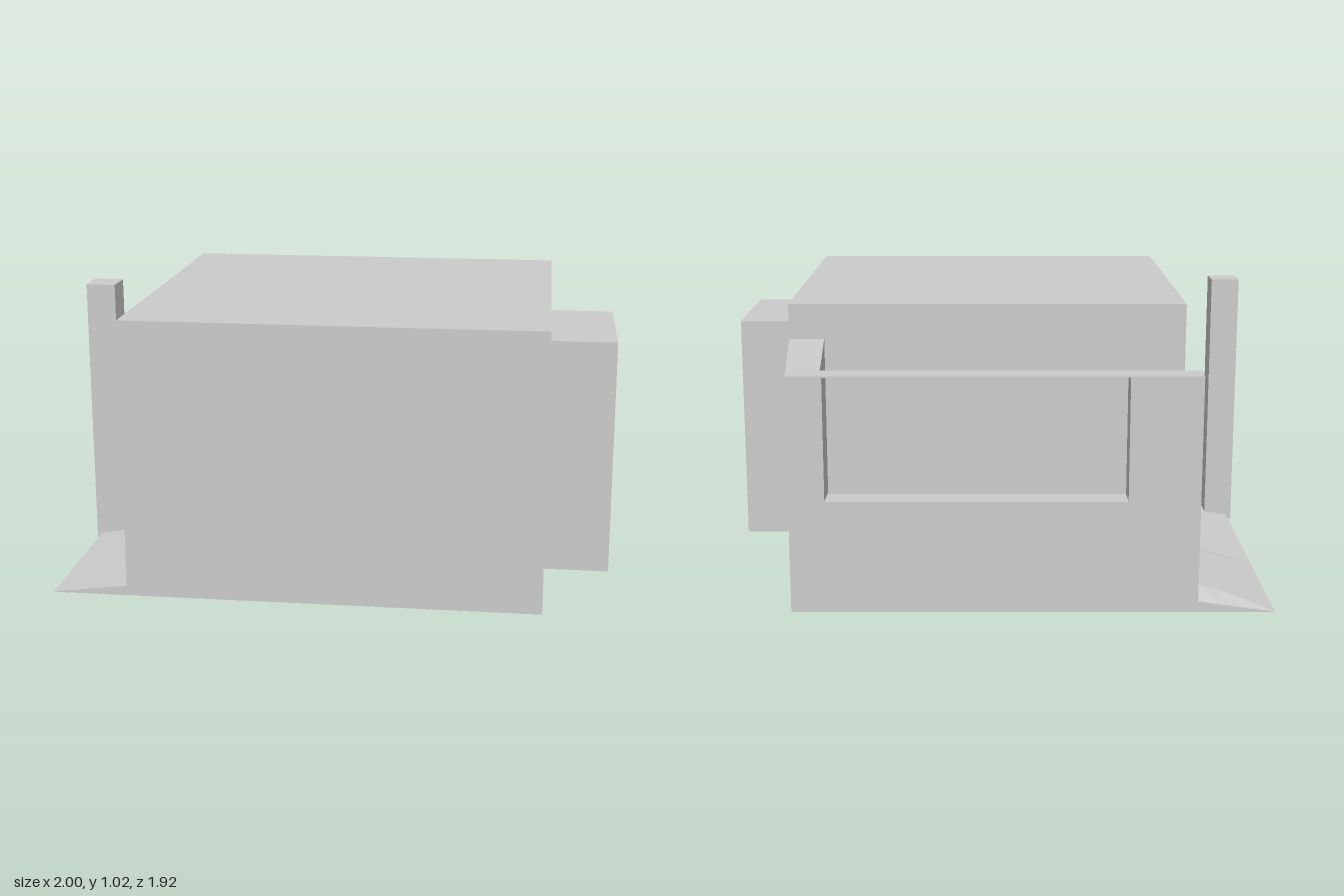
import * as THREE from 'three';

const material = new THREE.MeshStandardMaterial({ color: 0xcccccc, flatShading: true });

function add(group, name, geometry) {
  const mesh = new THREE.Mesh(geometry, material);
  mesh.name = name;
  group.add(mesh);
  return mesh;
}

// Box given by its minimum and maximum on each axis
function block(group, name, x0, x1, y0, y1, z0, z1) {
  const geometry = new THREE.BoxGeometry(x1 - x0, y1 - y0, z1 - z0);
  add(group, name, geometry).position.set((x0 + x1) / 2, (y0 + y1) / 2, (z0 + z1) / 2);
}

const polygon = (points) => points.map(([a, b]) => new THREE.Vector2(a, b));

// Ground sheet: a shallow ramp with a raised strip leading into the rear yard
function groundGeometry() {
  const xs = [-0.98, -0.79, -0.71, -0.62, 0.65];
  const low = [0.02, 0.046, 0.057, 0.06, 0.06];
  const high = [0.02, 0.068, 0.09, 0.1, 0.1];
  const skirt = [0.02, 0.02, 0.02, 0.02, 0.02];
  const rows = [[0.96, skirt], [0.96, low], [-0.33, low], [-0.42, high],
    [-0.86, high], [-0.95, low], [-0.96, low], [-0.96, skirt]];
  const positions = [];
  const index = [];
  rows.forEach(([z, ys], r) => xs.forEach((x, c) => {
    positions.push(x, ys[c], z);
    if (r < rows.length - 1 && c < xs.length - 1) {
      const a = r * xs.length + c;
      const b = a + xs.length;
      index.push(a, a + 1, b, a + 1, b + 1, b);
    }
  }));
  const geometry = new THREE.BufferGeometry();
  geometry.setAttribute('position', new THREE.Float32BufferAttribute(positions, 3));
  geometry.setIndex(index);
  const flat = geometry.toNonIndexed();
  flat.computeVertexNormals();
  return flat;
}

// Yard side wall: sloping top profile, tapering inwards towards the back
function sideWallGeometry() {
  const profile = new THREE.Shape(polygon([[0.42, 0.02], [0.96, 0.02], [0.96, 0.86], [0.84, 0.86], [0.42, 0.89]]));
  const geometry = new THREE.ExtrudeGeometry(profile, { depth: 1, bevelEnabled: false });
  geometry.rotateY(Math.PI / 2);
  const p = geometry.attributes.position;
  for (let i = 0; i < p.count; i++) {
    const s = (-0.42 - p.getZ(i)) / 0.54;
    p.setX(i, p.getX(i) > 0.5 ? 0.76 - 0.05 * s : 0.63 - 0.036 * s);
  }
  geometry.computeVertexNormals();
  return geometry;
}

// Back wall with a wide window under a very thin top
function backWallGeometry() {
  const wall = new THREE.Shape(polygon([[-0.71, 0.02], [0.6, 0.02], [0.6, 0.86], [-0.71, 0.86]]));
  wall.holes.push(new THREE.Path(polygon([[-0.46, 0.42], [-0.46, 0.856], [0.585, 0.856], [0.585, 0.42]])));
  const geometry = new THREE.ExtrudeGeometry(wall, { depth: 0.1, bevelEnabled: false });
  geometry.translate(0, 0, -0.96);
  return geometry;
}

export function createModel() {
  const group = new THREE.Group();
  group.name = 'house';

  // House body, side annex and free-standing post
  block(group, 'mainBlock', -0.71, 0.76, 0.02, 1.02, -0.42, 0.96);
  block(group, 'sideAnnex', 0.76, 1.0, 0.02, 0.89, -0.03, 0.52);
  block(group, 'post', -1.0, -0.89, 0, 1.02, 0.21, 0.33);

  // Rear yard walls
  add(group, 'yardSideWall', sideWallGeometry());
  add(group, 'yardBackWall', backWallGeometry());

  // Ground and its flat underside
  add(group, 'groundRamp', groundGeometry());
  const outline = polygon([[-0.98, -0.96], [0.71, -0.96], [0.76, -0.42], [0.76, 0.96], [-0.98, 0.96]]);
  const underside = new THREE.ShapeGeometry(new THREE.Shape(outline));
  underside.rotateX(Math.PI / 2);
  add(group, 'underside', underside).position.y = 0.02;

  return group;
}
